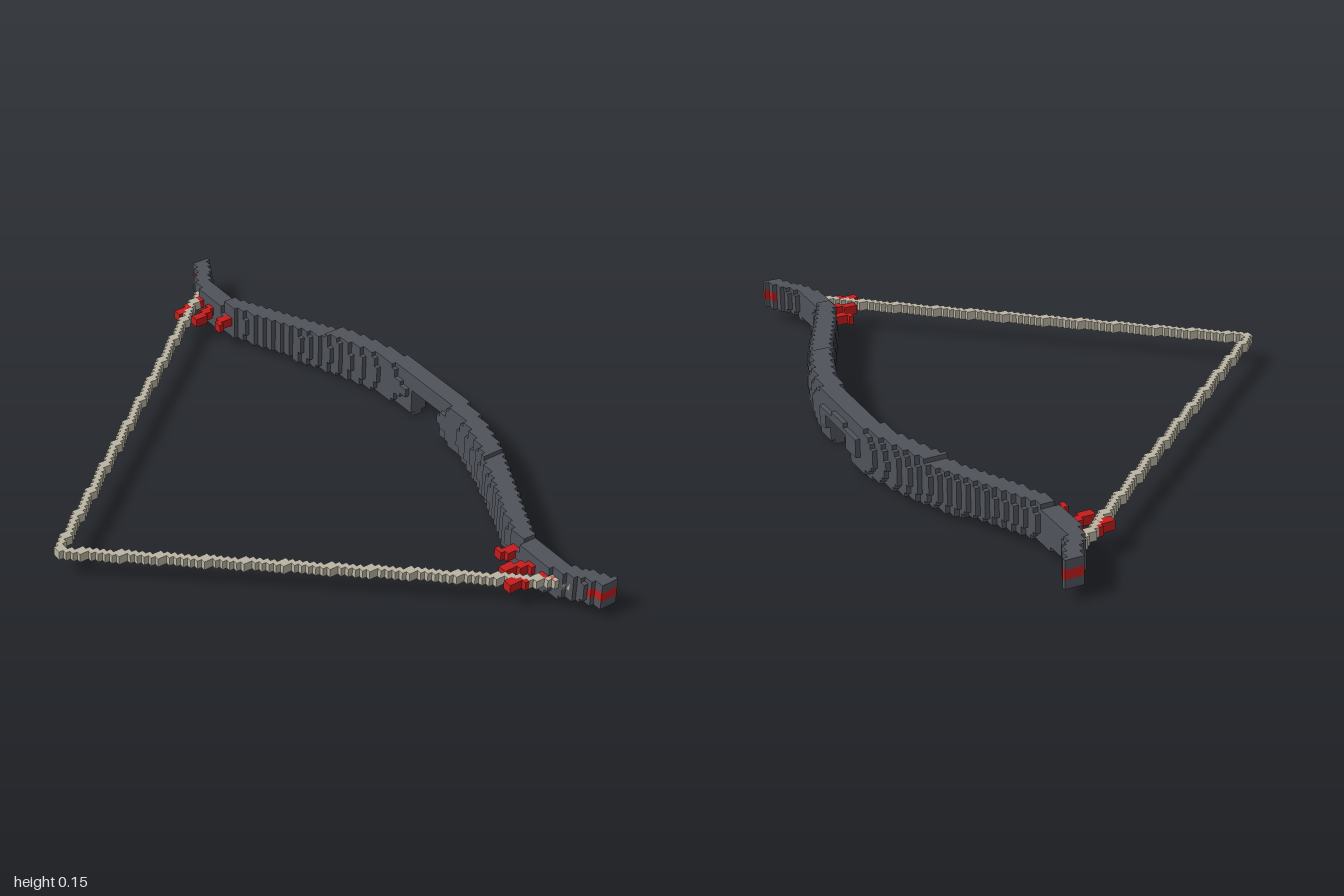
import * as THREE from 'three';
import { mergeGeometries } from 'three/addons/utils/BufferGeometryUtils.js';

const V = 1 / 72;      // voxel size
const MID = 6;         // height of the centre line, in voxels

// Block from its minimum to maximum corner, in voxels
function block(x0, x1, y0, y1, z0, z1) {
  return new THREE.BoxGeometry((x1 - x0) * V, (y1 - y0) * V, (z1 - z0) * V)
    .translate((x0 + x1) / 2 * V, (y0 + y1) / 2 * V, (z0 + z1) / 2 * V);
}

// The x grid is offset by half a voxel
const snapX = (v) => Math.round(v - 0.5) + 0.5;

// Bow centre line: [distance from middle, x, thickness along x]
const CURVE = [
  [0, 0.635, 0.072], [0.12, 0.632, 0.072], [0.2, 0.619, 0.072], [0.3, 0.591, 0.074],
  [0.4, 0.552, 0.076], [0.5, 0.507, 0.074], [0.6, 0.456, 0.07], [0.7, 0.41, 0.062],
  [0.76, 0.397, 0.054], [0.85, 0.396, 0.05], [0.9, 0.413, 0.054], [0.95, 0.443, 0.056],
  [1, 0.472, 0.05],
];
function curveAt(d) {
  let i = 1;
  while (i < CURVE.length - 1 && CURVE[i][0] < d) i++;
  const [a, b] = [CURVE[i - 1], CURVE[i]];
  const t = (d - a[0]) / (b[0] - a[0]);
  return [1, 2].map((k) => (a[k] + (b[k] - a[k]) * t) / V);
}

export function createModel() {
  const group = new THREE.Group();
  const dark = new THREE.MeshStandardMaterial({ name: 'dark grey', color: 0x50535b });
  const red = new THREE.MeshStandardMaterial({ name: 'red', color: 0xc41c1c });
  const cord = new THREE.MeshStandardMaterial({ name: 'pale cord', color: 0xbab4a3 });
  const add = (name, parts, material) => {
    const mesh = new THREE.Mesh(mergeGeometries(parts), material);
    mesh.name = name;
    group.add(mesh);
  };

  // Curved limbs, slice by slice and row by row, with a notch in the grip
  const limbs = [];
  const tips = [];
  for (let k = -72; k < 72; k++) {
    const d = Math.abs(k + 0.5) * V;
    const [xc, thick] = curveAt(d);
    const up = d < 0.39 ? 5 : d < 0.74 ? 4 : 3;
    const down = d < 0.5 ? 5 : d < 0.89 ? 4 : 3;
    for (let row = MID - down; row < MID + up; row++) {
      if (k >= -4 && k < 6 && row < MID + 1) continue;
      const dy = row + 0.5 - MID;
      const inset = 0.9 * (dy / 5) ** 2;
      const x0 = snapX(xc - thick / 2 + inset * 0.5);
      const x1 = snapX(xc + thick / 2 - inset);
      // Red core at the tips
      const isTip = d > 0.955 && Math.abs(dy) < 1;
      (isTip ? tips : limbs).push(block(x0, x1, row, row + 1, k, k + 1));
    }
  }
  // Small ridge under the grip
  for (const [z0, z1] of [[6, 7], [9, 12], [-6, -4], [-12, -8]]) {
    limbs.push(block(44.5, 46.5, 0, 1, z0, z1));
  }
  add('bowLimbs', limbs, dark);
  add('limbTips', tips, red);

  // Drawn string, stepped along both sides of the V
  const string = [];
  for (let x = -48.5; x < 30; x++) {
    const z = Math.round((x + 48.5) * 0.842);
    for (const s of [-1, 1]) {
      const [a, b] = [s * z, s * (z + 2)];
      string.push(block(x, x + 1, 5, 7, Math.min(a, b) - s, Math.max(a, b) - s));
    }
  }
  add('bowString', string, cord);

  // Red barbs near both limb ends: [inner x, z, root x, z]
  const barbs = [];
  for (const [xa, za, xb, zb] of [
    [0.33, 0.698, 0.39, 0.722], [0.28, 0.757, 0.385, 0.802], [0.25, 0.815, 0.39, 0.87],
  ]) {
    const start = snapX(xa / V);
    const end = snapX(xb / V);
    for (let x = start; x < end; x++) {
      const t = (x - start) / (end - start);
      const z = Math.round((za + (zb - za) * t) / V);
      for (const s of [-1, 1]) {
        barbs.push(block(x, x + 1, 5, 7, s > 0 ? z - 1 : -z - 1, s > 0 ? z + 1 : -z + 1));
      }
    }
  }
  add('limbBarbs', barbs, red);
  return group;
}
